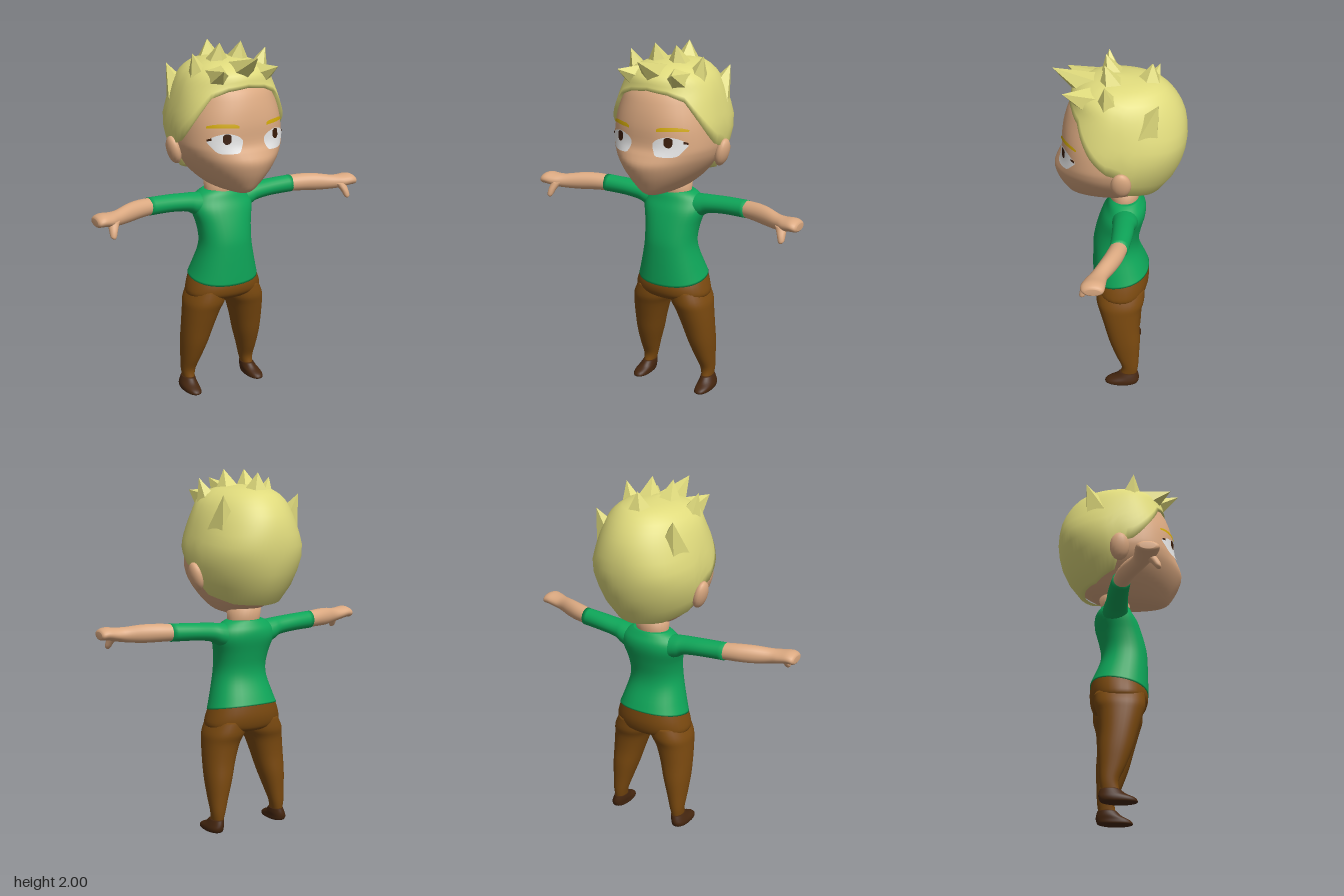
import * as THREE from 'three';

const mat = (name, color) => Object.assign(new THREE.MeshStandardMaterial({ color }), { name });

// Vertical section: height, half width, front z, back z, centre x, squareness, tilt, widest z
const row = (y, hx, zf, zb, cx = 0, n = 2, tilt = 0, zc = (zf + zb) / 2) => [y, hx, zf, zb, cx, n, tilt, zc];
const pow = (v, e) => Math.sign(v) * Math.abs(v) ** e;

function rowPoint([y, hx, zf, zb, cx, n, tilt, zc], a) {
  const s = pow(Math.sin(a), 2 / n), c = pow(Math.cos(a), 2 / n);
  return [cx + hx * s, y - tilt * c, zc + c * (c > 0 ? zf - zc : zc - zb)];
}
// Section of a limb that runs along x: x, y, z, half height, half depth
const limbPoint = ([x, y, z, ry, rz], a) => [x, y + ry * Math.cos(a), z + rz * Math.sin(a)];

// Spline through the section numbers
function smooth(rows, k = 4) {
  const out = [];
  for (let i = 0; i < rows.length - 1; i++) {
    const [p, q, r, s] = [rows[Math.max(i - 1, 0)], rows[i], rows[i + 1], rows[Math.min(i + 2, rows.length - 1)]];
    for (let j = 0; j < k; j++) {
      const t = j / k;
      out.push(q.map((v, m) => {
        const cubic = 3 * (v - r[m]) + s[m] - p[m];
        const square = 2 * p[m] - 5 * v + 4 * r[m] - s[m];
        return v + 0.5 * t * (r[m] - p[m] + t * (square + t * cubic));
      }));
    }
  }
  out.push(rows[rows.length - 1]);
  return out;
}

function build(pos, index) {
  const g = new THREE.BufferGeometry();
  g.setAttribute('position', new THREE.Float32BufferAttribute(pos.flat(), 3));
  g.setIndex(index);
  g.computeVertexNormals();
  return g;
}

// Closed skin over rings of points, with capped ends
function loft(rows, point = rowPoint, seg = 32) {
  const pos = [], index = [];
  rows.forEach(r => { for (let i = 0; i < seg; i++) pos.push(point(r, i / seg * Math.PI * 2)); });
  const last = (rows.length - 1) * seg;
  const centre = start => {
    const c = [0, 0, 0];
    for (let i = 0; i < seg; i++) pos[start + i].forEach((v, m) => { c[m] += v / seg; });
    return pos.push(c) - 1;
  };
  const c0 = centre(0), c1 = centre(last);
  for (let i = 0; i < seg; i++) {
    const j = (i + 1) % seg;
    for (let b = 0; b < last; b += seg) index.push(b + i, b + j, b + seg + j, b + i, b + seg + j, b + seg + i);
    index.push(c0, j, i, c1, last + i, last + j);
  }
  return build(pos, index);
}

function mirror(g) {
  const m = g.clone().scale(-1, 1, 1);
  const a = m.index.array;
  for (let i = 0; i < a.length; i += 3) [a[i + 1], a[i + 2]] = [a[i + 2], a[i + 1]];
  m.computeVertexNormals();
  return m;
}

// Section at a given height
function rowAt(rows, y) {
  let i = 0;
  while (i < rows.length - 2 && rows[i + 1][0] < y) i++;
  const t = THREE.MathUtils.clamp((y - rows[i][0]) / (rows[i + 1][0] - rows[i][0]), 0, 1);
  return rows[i].map((v, m) => v + t * (rows[i + 1][m] - v));
}

// Cone of few flat sides from one point to another
function spike(base, tip, r) {
  const a = new THREE.Vector3(...base), d = new THREE.Vector3(...tip).sub(a);
  const g = new THREE.ConeGeometry(r, d.length(), 5).translate(0, d.length() / 2, 0);
  g.applyQuaternion(new THREE.Quaternion().setFromUnitVectors(new THREE.Vector3(0, 1, 0), d.normalize()));
  return g.translate(a.x, a.y, a.z);
}
function faceted(g) {
  const f = g.toNonIndexed();
  f.computeVertexNormals();
  return f;
}

export function createModel() {
  const skin = mat('skin', 0xdba981), blond = mat('blond hair', 0xdfda7c), green = mat('green shirt', 0x0ea659);
  const brown = mat('brown trousers', 0x7a490f), dark = mat('dark shoes', 0x45260f);
  const white = mat('eye white', 0xe6e6e6), iris = mat('iris', 0x3a1c08), gold = mat('eyebrow', 0xd2aa08);
  const model = new THREE.Group();
  const add = (name, g, m) => {
    const mesh = new THREE.Mesh(g, m);
    mesh.name = name;
    model.add(mesh);
  };
  const pair = (name, g, m) => { add('left' + name, g, m); add('right' + name, mirror(g), m); };

  // Head and neck
  const zc = 0.03;
  const head = smooth([
    [1.21, .05, .23, -.02], [1.23, .1, .275, -.06], [1.28, .165, .31, -.18], [1.34, .22, .34, -.25],
    [1.4, .262, .355, -.29], [1.45, .282, .335, -.31, 2.2], [1.5, .288, .312, -.32, 2.4], [1.6, .281, .308, -.32, 2.3],
    [1.7, .262, .288, -.3, 2.1], [1.78, .235, .25, -.27], [1.86, .15, .16, -.2],
  ].map(([y, hx, zf, zb, n = 2]) => row(y, hx, zf, zb, 0, n, 0, zc)));
  add('head', loft(head, rowPoint, 48), skin);
  add('neck', loft([row(1.12, .1, .06, -.1), row(1.19, .095, .055, -.1), row(1.27, .1, .07, -.12)]), skin);
  pair('Ear', new THREE.SphereGeometry(1, 16, 12).scale(.034, .078, .054).rotateZ(-.25).translate(.296, 1.435, -.015), skin);

  // Face details: thin patches following the face, from columns of [x, top, bottom]
  const patch = (cols, lift) => {
    const pos = [], index = [], k = 4;
    smooth(cols, 3).forEach(([x, top, bottom], c) => {
      for (let j = 0; j <= k; j++) {
        const y = bottom + (top - bottom) * j / k, r = rowAt(head, y);
        const w = Math.max(0, 1 - Math.abs(x / r[1]) ** r[5]) ** (1 / r[5]);
        pos.push([x, y, zc + (r[2] - zc) * w + lift]);
        if (c && j) {
          const d = pos.length - 1, a = d - k - 2;
          index.push(a, d - 1, d, a, d, a + 1);
        }
      }
    });
    return build(pos, index);
  };
  pair('EyeWhite', patch([[.065, 1.525, 1.505], [.085, 1.545, 1.465], [.12, 1.558, 1.458], [.15, 1.562, 1.457],
    [.19, 1.553, 1.462], [.215, 1.54, 1.49], [.232, 1.528, 1.515]], .005), white);
  pair('Iris', patch([[.127, 1.552, 1.522], [.137, 1.56, 1.51], [.155, 1.56, 1.507], [.168, 1.55, 1.52]], .009), iris);
  pair('EyeCorner', patch([[.215, 1.54, 1.527], [.233, 1.532, 1.522]], .009), iris);
  pair('Eyebrow', patch([[.083, 1.6, 1.588], [.11, 1.61, 1.59], [.19, 1.61, 1.592], [.23, 1.598, 1.588]], .006), gold);

  // Hair cap, cut off below along the hairline, given as [degrees from the front, height]
  const hair = smooth([
    [1.28, .2, .31, -.228], [1.34, .25, .35, -.275], [1.44, .298, .345, -.325], [1.55, .31, .325, -.35, 2.3],
    [1.6, .307, .322, -.353, 2.3], [1.7, .286, .302, -.343, 2.1], [1.78, .262, .265, -.312], [1.85, .222, .245, -.26],
    [1.9, .14, .16, -.18], [1.92, .005, .035, .025],
  ].map(([y, hx, zf, zb, n = 2]) => row(y, hx, zf, zb, 0, n, 0, zc)));
  const hairline = [[0, 1.785], [25, 1.77], [46, 1.735], [66, 1.61], [84, 1.5], [94, 1.48], [103, 1.34], [135, 1.29], [180, 1.28]];
  const pos = [], index = [], cols = 72, steps = 14;
  for (let i = 0; i < cols; i++) {
    const deg = i * 360 / cols, edge = rowAt(hairline, Math.min(deg, 360 - deg))[1];
    for (let j = -1; j <= steps; j++) {
      const t = Math.max(j, 0) / steps, y = edge + (1.92 - edge) * (1 - (1 - t) ** 2);
      const p = rowPoint(rowAt(hair, y), deg * Math.PI / 180);
      if (j < 0) { p[0] *= .88; p[2] = zc + (p[2] - zc) * .88; }
      pos.push(p);
      if (j >= 0) {
        const a = i * (steps + 2) + j, b = (i + 1) % cols * (steps + 2) + j;
        index.push(a, b, b + 1, a, b + 1, a + 1);
      }
    }
  }
  add('hairCap', build(pos, index), blond);

  // Hair spikes: base, tip, radius
  [
    [[0, 1.835, .14], [0, 1.95, .35], .09], [[.12, 1.82, .14], [.165, 1.885, .288], .085],
    [[.06, 1.84, .03], [.065, 2, .078], .1], [[.155, 1.76, .05], [.225, 1.955, .07], .1],
    [[0, 1.77, -.13], [0, 1.985, -.164], .15], [[.19, 1.7, -.13], [.235, 1.87, -.2], .09],
  ].forEach(([base, tip, r], i) => {
    const shape = spike(base, tip, r);
    add('hairSpike' + i, faceted(shape), blond);
    if (base[0]) add('hairSpikeMirrored' + i, faceted(mirror(shape)), blond);
  });

  // Shirt
  add('shirtBody', loft(smooth([
    row(.69, .203, .157, -.163, 0, 2.2, .03), row(.75, .184, .157, -.145, 0, 2.2, .015), row(.85, .157, .155, -.11, 0, 2.2),
    row(.92, .15, .15, -.103, 0, 2.2), row(1, .16, .132, -.118, 0, 2.2), row(1.08, .182, .105, -.138, 0, 2.2),
    row(1.13, .178, .08, -.138), row(1.165, .145, .065, -.12), row(1.185, .107, .05, -.107),
  ])), green);
  pair('Sleeve', loft(smooth([
    [.08, 1.09, -.03, .075, .075], [.17, 1.113, -.03, .062, .068], [.22, 1.128, -.026, .051, .06],
    [.32, 1.138, -.023, .048, .056], [.455, 1.143, -.012, .049, .05],
  ]), limbPoint, 24), green);

  // Forearm, hand and thumb
  pair('ForearmAndHand', loft(smooth([
    [.43, 1.143, -.014, .045, .046], [.52, 1.145, .008, .049, .049], [.6, 1.143, .038, .049, .048],
    [.68, 1.14, .075, .041, .046], [.73, 1.143, .092, .037, .056], [.78, 1.15, .1, .034, .062], [.81, 1.146, .1, .029, .056],
    [.82, 1.144, .098, .018, .04],
  ]), limbPoint, 24), skin);
  pair('Thumb', loft(smooth([
    row(1.058, .008, .168, .15, .741), row(1.07, .017, .172, .138, .742), row(1.1, .023, .165, .115, .735),
    row(1.14, .033, .145, .08, .72),
  ]), rowPoint, 16), skin);

  // Trousers
  add('trouserSeat', loft(smooth([
    row(.556, .1, .07, -.08), row(.572, .19, .115, -.13), row(.6, .222, .145, -.152, 0, 2.2),
    row(.65, .214, .155, -.163, 0, 2.2, .01), row(.71, .192, .15, -.155, 0, 2.2, .03),
  ])), brown);
  // Leg sections: height, inner x, outer x, front z, back z
  pair('TrouserLeg', loft(smooth([
    [.07, .167, .228, -.01, -.104], [.12, .155, .234, -.015, -.112], [.2, .132, .24, .02, -.116], [.3, .1, .246, .058, -.12],
    [.4, .072, .246, .086, -.116], [.5, .04, .241, .115, -.123], [.56, .012, .233, .132, -.14], [.63, .01, .2, .13, -.14],
  ].map(([y, a, b, zf, zb]) => row(y, (b - a) / 2, zf, zb, (a + b) / 2, 2.2)))), brown);

  // Shoes
  pair('Shoe', loft(smooth([
    row(0, .034, .06, -.085, .208), row(.008, .044, .082, -.108, .208, 2.3), row(.028, .045, .07, -.117, .208, 2.3),
    row(.05, .042, .025, -.117, .203), row(.076, .035, -.005, -.11, .198),
  ])), dark);
  return model;
}
